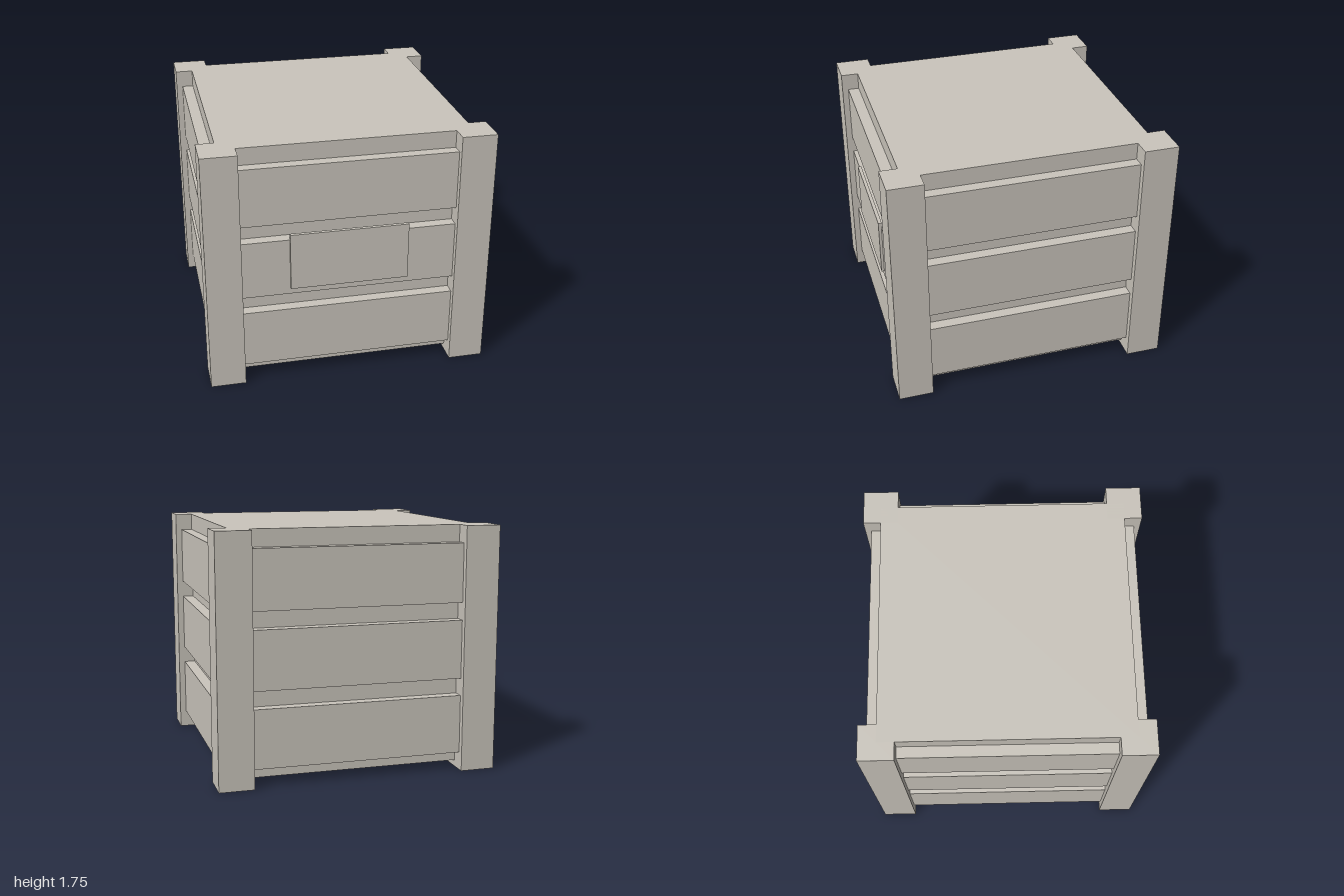
import * as THREE from 'three';

export function createModel() {
  const crate = new THREE.Group();
  crate.name = 'crate';
  const paleWood = new THREE.MeshStandardMaterial({ color: 0xcac5bc });
  paleWood.name = 'paleWood';

  // Box given by its minimum and maximum corners
  function box(name, min, max, parent = crate) {
    const size = max.map((v, i) => v - min[i]);
    const mesh = new THREE.Mesh(new THREE.BoxGeometry(...size), paleWood);
    mesh.position.set(...max.map((v, i) => (v + min[i]) / 2));
    mesh.name = name;
    parent.add(mesh);
    return mesh;
  }

  const height = 1.75;
  const inner = 0.875; // face of the body
  const outer = 0.955; // face of the slats
  const post = 0.752;  // inner edge of the corner posts

  // Closed body
  box('body', [-inner, 0.045, -inner], [inner, height, inner]);

  // Corner posts
  for (const sx of [-1, 1]) {
    for (const sz of [-1, 1]) {
      const mesh = box('cornerPost', [post, 0, post], [1, height, 1]);
      mesh.position.x *= sx;
      mesh.position.z *= sz;
    }
  }

  // Three slats on each of the four sides
  ['front', 'left', 'back', 'right'].forEach((side, i) => {
    const group = new THREE.Group();
    group.name = side + 'Slats';
    group.rotation.y = (i * Math.PI) / 2;
    for (let k = 0; k < 3; k++) {
      const y = 0.126 + k * 0.542;
      box('slat', [-post, y, inner], [post, y + 0.418, outer], group);
    }
    crate.add(group);
  });

  // Blank plate on the front
  box('frontPlate', [-0.415, 0.715, outer - 0.005], [0.415, 1.13, 0.975]);

  return crate;
}
